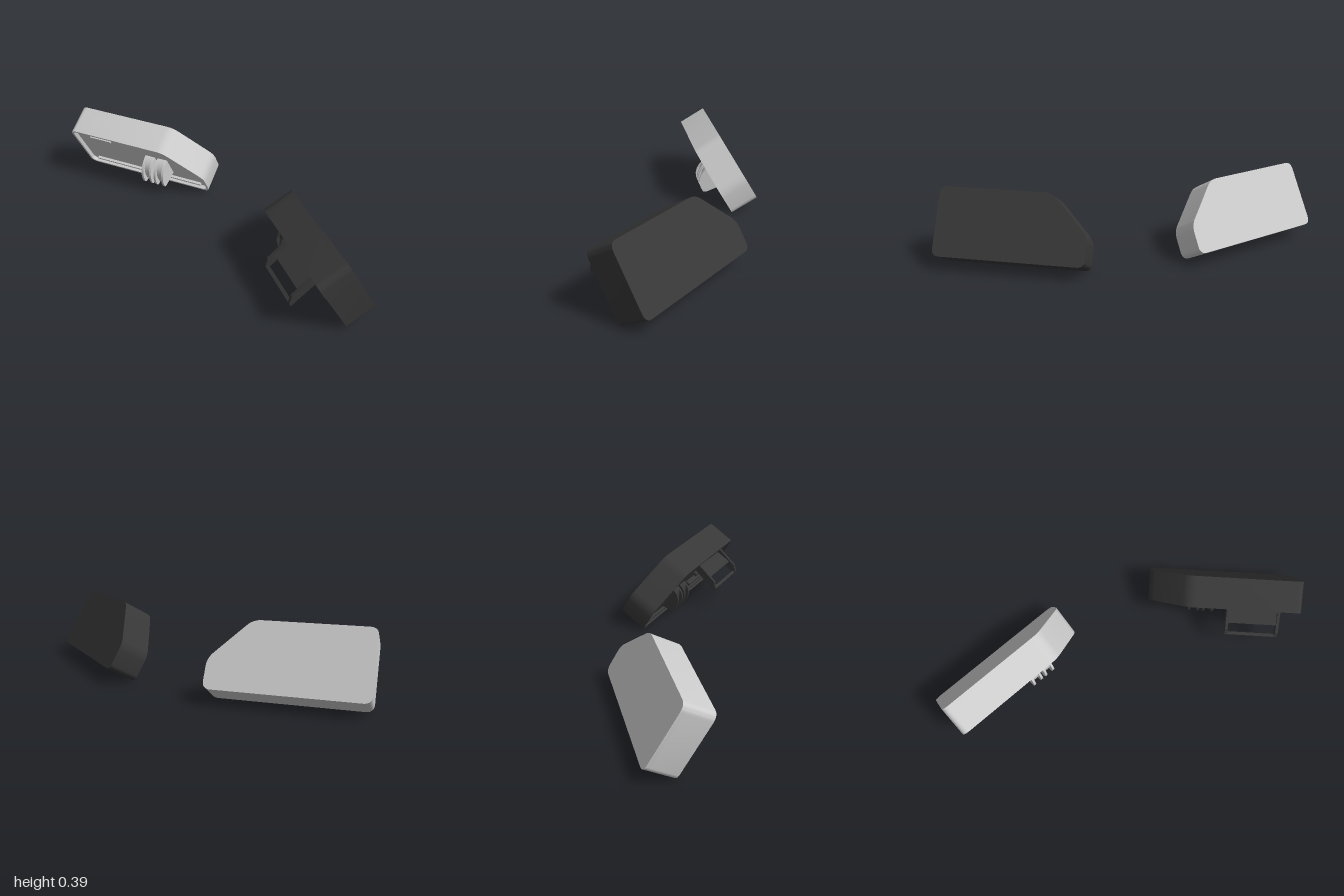
import * as THREE from 'three';
import { toCreasedNormals } from 'three/addons/utils/BufferGeometryUtils.js';

const TILT = Math.PI / 6;   // lean of each housing
const DEPTH = 0.16;         // thickness of each housing
// Housing outline: length along the housing, height up its face
const OUTLINE = [[0, 0], [0.772, 0], [0.77, 0.15], [0.575, 0.353], [0, 0.353]];
const INNER = [[0.012, 0.012], [0.76, 0.012], [0.758, 0.145], [0.57, 0.341], [0.012, 0.341]];

// Polygon with rounded corners, kept counter-clockwise when mirrored
function rounded(points, r, side, Type = THREE.Shape) {
  const path = new Type();
  const P = points.map(([u, v]) => new THREE.Vector2(u * side, v));
  if (side < 0) P.reverse();
  P.forEach((p, i) => {
    const prev = P[(i + P.length - 1) % P.length], next = P[(i + 1) % P.length];
    const a = prev.clone().sub(p).setLength(r).add(p);
    const b = next.clone().sub(p).setLength(r).add(p);
    if (i === 0) path.moveTo(a.x, a.y); else path.lineTo(a.x, a.y);
    path.quadraticCurveTo(p.x, p.y, b.x, b.y);
  });
  path.closePath();
  return path;
}

function extrude(shape, depth) {
  const g = new THREE.ExtrudeGeometry(shape, { depth, bevelEnabled: false, curveSegments: 8 });
  return toCreasedNormals(g, 0.5);
}

// Cross-section in (outward, height), extruded along the housing and centred at u
function crossPiece(shape, width, u) {
  return extrude(shape, width).rotateY(-Math.PI / 2).translate(u + width / 2, 0, 0);
}

// Side is +1 or -1 and mirrors the housing along its length
function makeHousing({ name, color, side, yaw, origin, hookV, hookReach }) {
  const group = new THREE.Group();
  group.name = name;
  const material = new THREE.MeshStandardMaterial({ color });
  const add = (partName, geometry) => {
    const mesh = new THREE.Mesh(geometry, material);
    mesh.name = partName;
    group.add(mesh);
    return mesh;
  };
  const box = (partName, u0, u1, v0, v1, w0, w1) =>
    add(partName, new THREE.BoxGeometry(u1 - u0, v1 - v0, w1 - w0))
      .position.set(side * (u0 + u1) / 2, (v0 + v1) / 2, (w0 + w1) / 2);

  // Shell: wall ring, face and recessed back panel
  const ring = rounded(OUTLINE, 0.04, side);
  ring.holes.push(rounded(INNER, 0.03, side, THREE.Path));
  add('wall', extrude(ring, DEPTH - 0.02).translate(0, 0, -DEPTH));
  add('facePlate', extrude(rounded(OUTLINE, 0.04, side), 0.02).translate(0, 0, -0.02));
  add('backPanel', extrude(rounded(INNER, 0.03, side), 0.01).translate(0, 0, -0.138));

  // Raised ribs on the panel
  box('lowerRail', 0.05, 0.72, 0.03, 0.042, -0.152, -0.13);
  box('upperRail', 0.1, 0.23, 0.285, 0.297, -0.148, -0.13);

  // Two hooks, each a pair of curved fins around a lower web
  const hookShape = (reach) => {
    const s = new THREE.Shape();
    s.moveTo(-0.13, hookV - 0.065);
    s.lineTo(-0.13, hookV + 0.075);
    s.lineTo(-0.15, hookV + 0.075);
    s.quadraticCurveTo(-reach, hookV + 0.06, -reach, hookV - 0.03);
    s.quadraticCurveTo(-reach, hookV - 0.045, -reach + 0.02, hookV - 0.05);
    s.closePath();
    return s;
  };
  for (const u of [0.455, 0.53]) {
    for (const offset of [-0.023, 0.023]) {
      add('hookFin', crossPiece(hookShape(hookReach), 0.012, side * (u + offset)));
    }
    add('hookWeb', crossPiece(hookShape(hookReach - 0.025), 0.034, side * u));
  }

  // Orient: length, height and outward axes
  const along = new THREE.Vector3(Math.sin(yaw), 0, -side * Math.cos(yaw));
  const out = new THREE.Vector3(Math.cos(yaw), 0, side * Math.sin(yaw)).multiplyScalar(Math.cos(TILT));
  out.y = Math.sin(TILT);
  const xAxis = along.multiplyScalar(side);
  const up = out.clone().cross(xAxis);
  group.quaternion.setFromRotationMatrix(new THREE.Matrix4().makeBasis(xAxis, up, out));
  group.position.set(...origin);
  return { group, add, box };
}

// Pull-out bracket on the back: two arms, a plate and a bar at the tip
function addBracket({ add, box }) {
  const arm = new THREE.Shape([
    [-0.303, 0.238], [-0.203, 0.256], [-0.13, 0.269], [-0.13, 0.313],
    [-0.196, 0.301], [-0.275, 0.286], [-0.304, 0.257],
  ].map(([w, v]) => new THREE.Vector2(w, v)));
  for (const u of [0.107, 0.365]) add('bracketArm', crossPiece(arm, 0.014, u));
  box('bracketBar', 0.1, 0.372, 0.239, 0.253, -0.304, -0.288);
  box('bracketPlate', 0.11, 0.365, 0.276, 0.286, -0.238, -0.13);
  // Mounting strip and studs under the plate
  box('bracketMount', 0.09, 0.38, 0.15, 0.165, -0.165, -0.13);
  for (const u of [0.15, 0.235, 0.32]) {
    const stud = new THREE.CylinderGeometry(0.013, 0.013, 0.03, 16).rotateX(Math.PI / 2);
    add('mountStud', stud).position.set(u, 0.21, -0.145);
  }
}

export function createModel() {
  const model = new THREE.Group();
  model.name = 'housingPair';
  const dark = makeHousing({
    name: 'darkHousing', color: 0x373737, side: 1, yaw: 0.435,
    origin: [0, 0.08, 1.005], hookV: 0.12, hookReach: 0.21,
  });
  addBracket(dark);
  const light = makeHousing({
    name: 'lightHousing', color: 0xcccccc, side: -1, yaw: 0.355,
    origin: [0.035, 0.08, -1.005], hookV: 0.15, hookReach: 0.245,
  });
  model.add(dark.group, light.group);
  return model;
}
